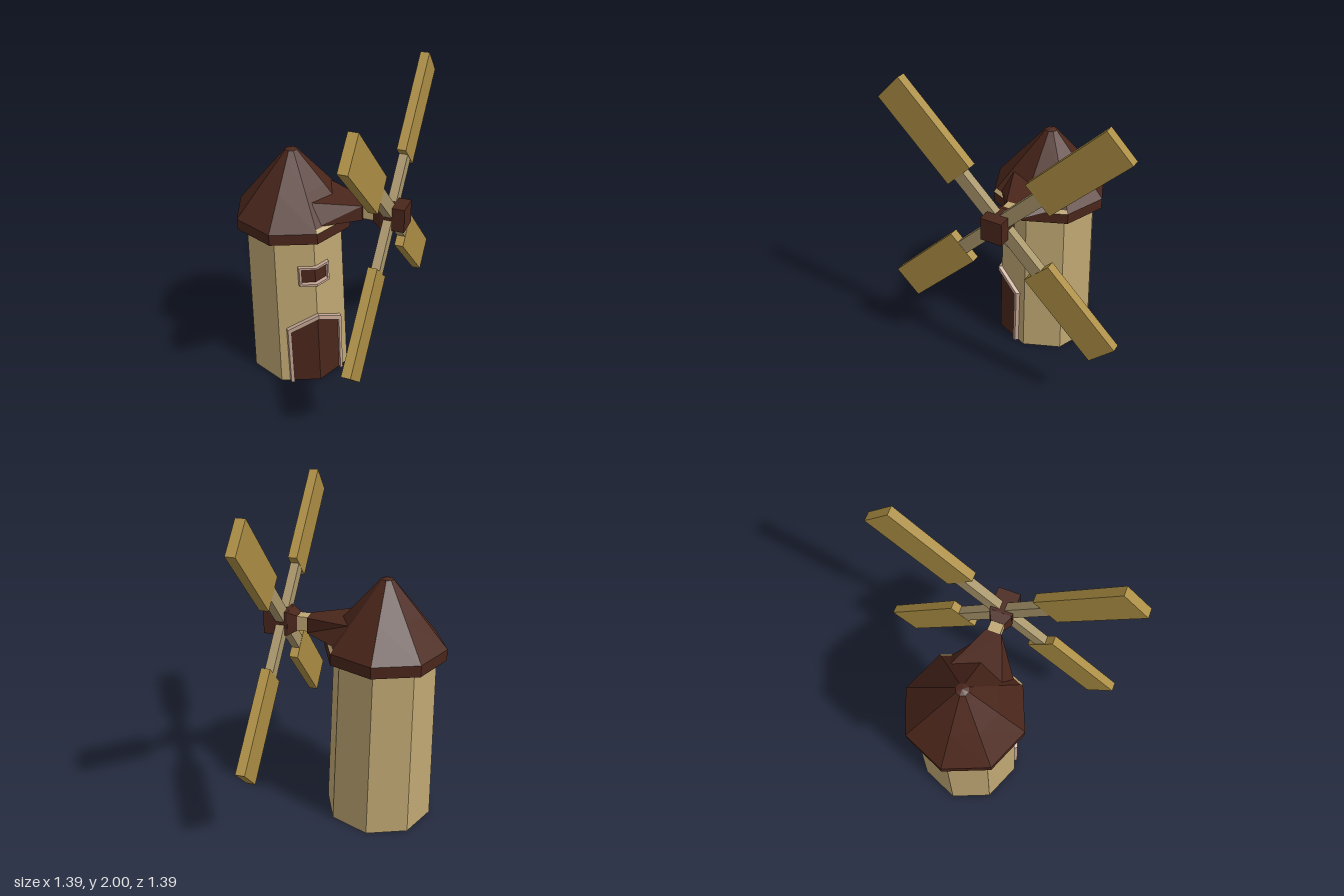
import * as THREE from 'three';

const mat = (color) => new THREE.MeshStandardMaterial({ color, flatShading: true, side: THREE.DoubleSide });
const WALL = mat(0xbfa773), ROOF = mat(0x4a261b), SAIL = mat(0xab8d43), SPAR = mat(0xa8956a), TRIM = mat(0xc4a592);

const CX = -0.325, CZ = -0.325;          // tower axis
const WALL_TOP = 1.12;
const radius = (y) => 0.335 - 0.023 * y; // tapered octagon
const HUB_Y = 1.215;

function add(parent, name, geometry, material) {
  const mesh = new THREE.Mesh(geometry, material);
  mesh.name = name;
  parent.add(mesh);
  return mesh;
}

// Half outline (x >= 0) laid on one of the two front walls, which meet at the front corner
function folded(points, side, depth, offset) {
  const shape = new THREE.Shape(points.map(([x, y]) => new THREE.Vector2(x * side, y)));
  const g = depth
    ? new THREE.ExtrudeGeometry(shape, { depth, bevelEnabled: false })
    : new THREE.ShapeGeometry(shape);
  const p = g.attributes.position;
  for (let i = 0; i < p.count; i++) {
    const z = p.getZ(i) + offset + radius(p.getY(i)) - Math.abs(p.getX(i)) * Math.tan(Math.PI / 8);
    p.setZ(i, z);
  }
  g.computeVertexNormals();
  return g;
}

// Box with separate front and back sections: [halfWidth, y, z] for each bottom and top edge
function taperedBox(back, front) {
  const g = new THREE.BoxGeometry(2, 2, 2);
  const p = g.attributes.position;
  for (let i = 0; i < p.count; i++) {
    const section = p.getZ(i) > 0 ? front : back;
    const [w, y, z] = section[p.getY(i) > 0 ? 1 : 0];
    p.setXYZ(i, p.getX(i) * w, y, z);
  }
  g.computeVertexNormals();
  return g;
}

function buildTower() {
  const tower = new THREE.Group();
  tower.name = 'tower';

  // Six plain walls
  const walls = new THREE.CylinderGeometry(radius(WALL_TOP), radius(0), WALL_TOP, 6, 1, true, Math.PI / 4, Math.PI * 1.5);
  add(tower, 'walls', walls.translate(0, WALL_TOP / 2, 0), WALL);

  // Two front walls with the door and window openings, and their fittings
  const c = Math.SQRT1_2;
  const wall = [[0.175, 0], [radius(0) * c, 0], [radius(WALL_TOP) * c, WALL_TOP], [0, WALL_TOP],
    [0, 0.88], [0.09, 0.88], [0.09, 0.765], [0, 0.765], [0, 0.52], [0.175, 0.415]];
  const door = [[0, 0], [0.175, 0], [0.175, 0.415], [0, 0.52]];
  const doorFrame = [[0.165, 0], [0.185, 0], [0.185, 0.425], [0, 0.535], [0, 0.505], [0.165, 0.405]];
  const pane = [[0, 0.765], [0.09, 0.765], [0.09, 0.88], [0, 0.88]];
  const windowFrame = [[0, 0.755], [0.098, 0.755], [0.098, 0.888], [0, 0.888],
    [0, 0.875], [0.085, 0.875], [0.085, 0.77], [0, 0.77]];
  for (const side of [-1, 1]) {
    add(tower, 'frontWall', folded(wall, side, 0, 0), WALL);
    add(tower, 'door', folded(door, side, 0, 0.002), ROOF);
    add(tower, 'doorFrame', folded(doorFrame, side, 0.035, -0.01), TRIM);
    add(tower, 'windowPane', folded(pane, side, 0, -0.004), ROOF);
    add(tower, 'windowFrame', folded(windowFrame, side, 0.035, -0.01), TRIM);
  }

  // Roof with a short vertical rim and a blunt tip
  const profile = [[0.3, 1.075], [0.37, 1.075], [0.37, 1.145], [0.21, 1.335], [0.065, 1.505], [0.038, 1.538], [0, 1.55]]
    .map(([x, y]) => new THREE.Vector2(x, y));
  add(tower, 'roof', new THREE.LatheGeometry(profile, 8), ROOF);
  return tower;
}

// Dormer, axle, hub and sails, built facing +z
function buildHead() {
  const head = new THREE.Group();
  head.name = 'sailHead';

  const strip = new THREE.CylinderGeometry(0.354, 0.372, 0.02, 2, 1, true, -Math.PI / 4, Math.PI / 2);
  add(head, 'dormerSill', strip.translate(0, 1.155, 0), WALL);
  add(head, 'dormer', taperedBox(
    [[0.212, 1.165, 0.25], [0.156, 1.285, 0.19]],
    [[0.052, 1.165, 0.466], [0.05, 1.26, 0.466]]), ROOF);
  add(head, 'axle', new THREE.BoxGeometry(0.08, 0.09, 0.16).translate(0, HUB_Y, 0.5), WALL);
  add(head, 'hubCollar', taperedBox(
    [[0.042, HUB_Y - 0.048, 0.53], [0.042, HUB_Y + 0.048, 0.53]],
    [[0.07, HUB_Y - 0.075, 0.585], [0.07, HUB_Y + 0.075, 0.585]]), ROOF);
  add(head, 'hub', new THREE.BoxGeometry(0.14, 0.15, 0.15).translate(0, HUB_Y, 0.658), ROOF);

  // Four identical sails on the diagonals
  for (let i = 0; i < 4; i++) {
    const sail = new THREE.Group();
    sail.name = 'sail';
    sail.position.set(0, HUB_Y, 0.629);
    sail.rotation.z = Math.PI / 4 + i * Math.PI / 2;
    add(sail, 'sailArm', new THREE.BoxGeometry(0.085, 0.36, 0.054).translate(0, 0.2, 0), SPAR);
    add(sail, 'sailBoard', new THREE.BoxGeometry(0.219, 0.638, 0.057).translate(0, 0.681, 0), SAIL);
    head.add(sail);
  }
  return head;
}

export function createModel() {
  const model = new THREE.Group();
  model.name = 'windmill';
  const tower = buildTower();
  const head = buildHead();
  head.rotation.y = Math.PI / 4; // sails face the front-left corner
  for (const part of [tower, head]) {
    part.position.set(CX, 0, CZ);
    model.add(part);
  }
  return model;
}
